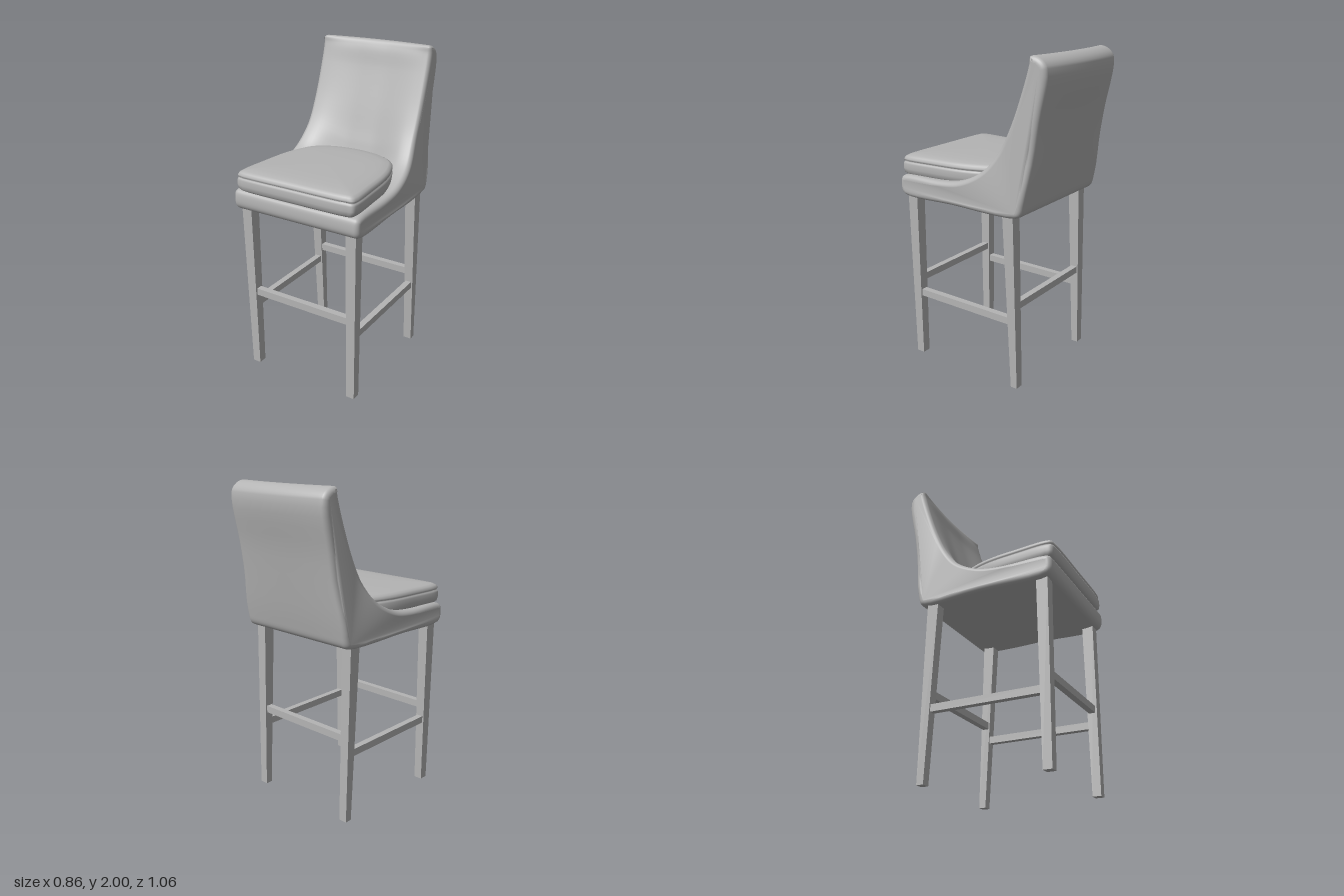
import * as THREE from 'three';

const { lerp, smoothstep } = THREE.MathUtils;
const grey = new THREE.MeshStandardMaterial({ color: 0xb4b4b4 });
grey.name = 'plain grey';

function addMesh(parent, name, geometry) {
  const mesh = new THREE.Mesh(geometry, grey);
  mesh.name = name;
  parent.add(mesh);
  return mesh;
}

function indexed(positions, indices) {
  const g = new THREE.BufferGeometry();
  g.setAttribute('position', new THREE.Float32BufferAttribute(positions, 3));
  g.setIndex(indices);
  g.computeVertexNormals();
  return g;
}

// Side profiles of the upholstered shell as [z, y]: at the wing and at the middle
const wingProfile = [
  [-0.33, 1.10], [0.1, 1.10], [0.49, 1.10], [0.518, 1.125], [0.525, 1.17], [0.515, 1.215], [0.48, 1.23],
  [0.2, 1.235], [0.05, 1.26], [-0.1, 1.34], [-0.2, 1.46], [-0.28, 1.62], [-0.36, 1.84], [-0.395, 1.96],
  [-0.43, 2.0], [-0.49, 1.99], [-0.53, 1.94], [-0.47, 1.62], [-0.39, 1.2], [-0.365, 1.12],
];
const middleProfile = wingProfile.map((p) => [...p]);
[[0.48, 1.22], [0.2, 1.22], [0, 1.22], [-0.17, 1.25], [-0.235, 1.4], [-0.3, 1.6], [-0.375, 1.84], [-0.405, 1.96]]
  .forEach((p, i) => { middleProfile[6 + i] = p; });

// Shell: profiles lofted across the width, rounded at both sides
function shellGeometry() {
  const N = 110, W = 0.432, R = 0.03;
  const half = [];
  for (let i = 0; i <= 16; i++) half.push([(W - R) * i / 16, 0]);
  for (let i = 1; i <= 6; i++) {
    const a = (i / 6) * Math.PI / 2;
    half.push([W - R + R * Math.sin(a), R * (1 - Math.cos(a))]);
  }
  const sections = [...half.slice(1).reverse().map(([x, o]) => [-x, o]), ...half];
  const pos = [], idx = [];
  let loop;
  const ends = [];
  sections.forEach(([x, inset]) => {
    const m = smoothstep(Math.abs(x), 0.08, 0.37);
    const u = x / W;
    const points = wingProfile.map(([z, y], i) => {
      const bow = i >= 14 ? 0.03 * u * u * (y - 1.1) / 0.9 : 0;
      return new THREE.Vector3(lerp(middleProfile[i][0], z, m) + bow, lerp(middleProfile[i][1], y, m), 0);
    });
    const curve = new THREE.CatmullRomCurve3(points, true, 'centripetal');
    loop = [];
    for (let j = 0; j < N; j++) {
      const p = curve.getPoint(j / N), t = curve.getTangent(j / N);
      const z = p.x - t.y * inset, y = p.y + t.x * inset;
      const taper = 0.032 * smoothstep(y, 1.2, 1.5) + 0.015 * smoothstep(-z, 0, 0.4);
      loop.push(new THREE.Vector2(z, y));
      pos.push(u * (W - taper), y, z);
    }
    ends.push(loop);
  });
  const last = sections.length - 1;
  for (let i = 0; i < last; i++) {
    for (let j = 0; j < N; j++) {
      const a = i * N + j, b = i * N + (j + 1) % N, c = a + N, d = b + N;
      idx.push(a, c, b, b, c, d);
    }
  }
  for (const [a, b, c] of THREE.ShapeUtils.triangulateShape(ends[0], [])) idx.push(a, b, c);
  for (const [a, b, c] of THREE.ShapeUtils.triangulateShape(ends[last], [])) {
    idx.push(last * N + a, last * N + c, last * N + b);
  }
  return indexed(pos, idx);
}

// Cushion: stacked rings of a U-shaped outline with a seam groove and a soft crown
function cushionGeometry() {
  const right = [[0.1, -0.212], [0.2, -0.185], [0.295, -0.12], [0.345, -0.02], [0.378, 0.1],
    [0.398, 0.3], [0.408, 0.48], [0.397, 0.518], [0.36, 0.528]];
  const outline = [[0, -0.22], ...right, [0, 0.532], ...right.map(([x, z]) => [-x, z]).reverse()];
  const curve = new THREE.CatmullRomCurve3(outline.map(([x, z]) => new THREE.Vector3(x, 0, z)), true, 'centripetal');
  const N = 120, cz = 0.16;
  // [inset, height]
  const rings = [[0.1, 1.215], [0.02, 1.225], [0.005, 1.24], [0, 1.265], [0.001, 1.295], [0.005, 1.307],
    [0.014, 1.311], [0.005, 1.315], [0.004, 1.326], [0.012, 1.34], [0.03, 1.35], [0.08, 1.357],
    [0.16, 1.361], [0.26, 1.363], [0.34, 1.364]];
  const pos = [], idx = [];
  rings.forEach(([inset, y]) => {
    const s = 1 - inset / 0.4;
    for (let j = 0; j < N; j++) {
      const p = curve.getPoint(j / N);
      pos.push(p.x * s, y, cz + (p.z - cz) * s);
    }
  });
  for (let i = 0; i < rings.length - 1; i++) {
    for (let j = 0; j < N; j++) {
      const a = i * N + j, b = i * N + (j + 1) % N, c = a + N, d = b + N;
      idx.push(a, c, b, b, c, d);
    }
  }
  const top = (rings.length - 1) * N, centre = pos.length / 3;
  pos.push(0, 1.364, cz);
  for (let j = 0; j < N; j++) idx.push(top + j, centre, top + (j + 1) % N);
  return indexed(pos, idx);
}

// Tapered leg between two rectangles [x0, x1, z0, z1]
function legGeometry(bottom, top, height) {
  const g = new THREE.BoxGeometry(1, 1, 1);
  const p = g.attributes.position;
  for (let i = 0; i < p.count; i++) {
    const r = p.getY(i) > 0 ? top : bottom;
    p.setXYZ(i, p.getX(i) > 0 ? r[1] : r[0], p.getY(i) > 0 ? height : 0, p.getZ(i) > 0 ? r[3] : r[2]);
  }
  g.computeVertexNormals();
  return g;
}

export function createModel() {
  const chair = new THREE.Group();
  chair.name = 'barChair';
  addMesh(chair, 'upholsteredShell', shellGeometry());
  addMesh(chair, 'seatCushion', cushionGeometry());

  const mirror = ([a, b, c, d]) => [-b, -a, c, d];
  const legs = {
    front: [[0.333, 0.387, 0.423, 0.477], [0.33, 0.398, 0.415, 0.487]],
    back: [[0.333, 0.387, -0.337, -0.293], [0.33, 0.398, -0.312, -0.238]],
  };
  for (const [name, [bottom, top]] of Object.entries(legs)) {
    addMesh(chair, name + 'LegLeft', legGeometry(bottom, top, 1.12));
    addMesh(chair, name + 'LegRight', legGeometry(mirror(bottom), mirror(top), 1.12));
  }

  // Stretchers: front and back sit higher than the sides
  for (const [name, z] of [['front', 0.45], ['back', -0.295]]) {
    addMesh(chair, name + 'Stretcher', new THREE.BoxGeometry(0.68, 0.045, 0.04)).position.set(0, 0.533, z);
  }
  for (const [name, x] of [['left', 0.362], ['right', -0.362]]) {
    addMesh(chair, name + 'Stretcher', new THREE.BoxGeometry(0.04, 0.045, 0.72)).position.set(x, 0.438, 0.075);
  }
  return chair;
}
